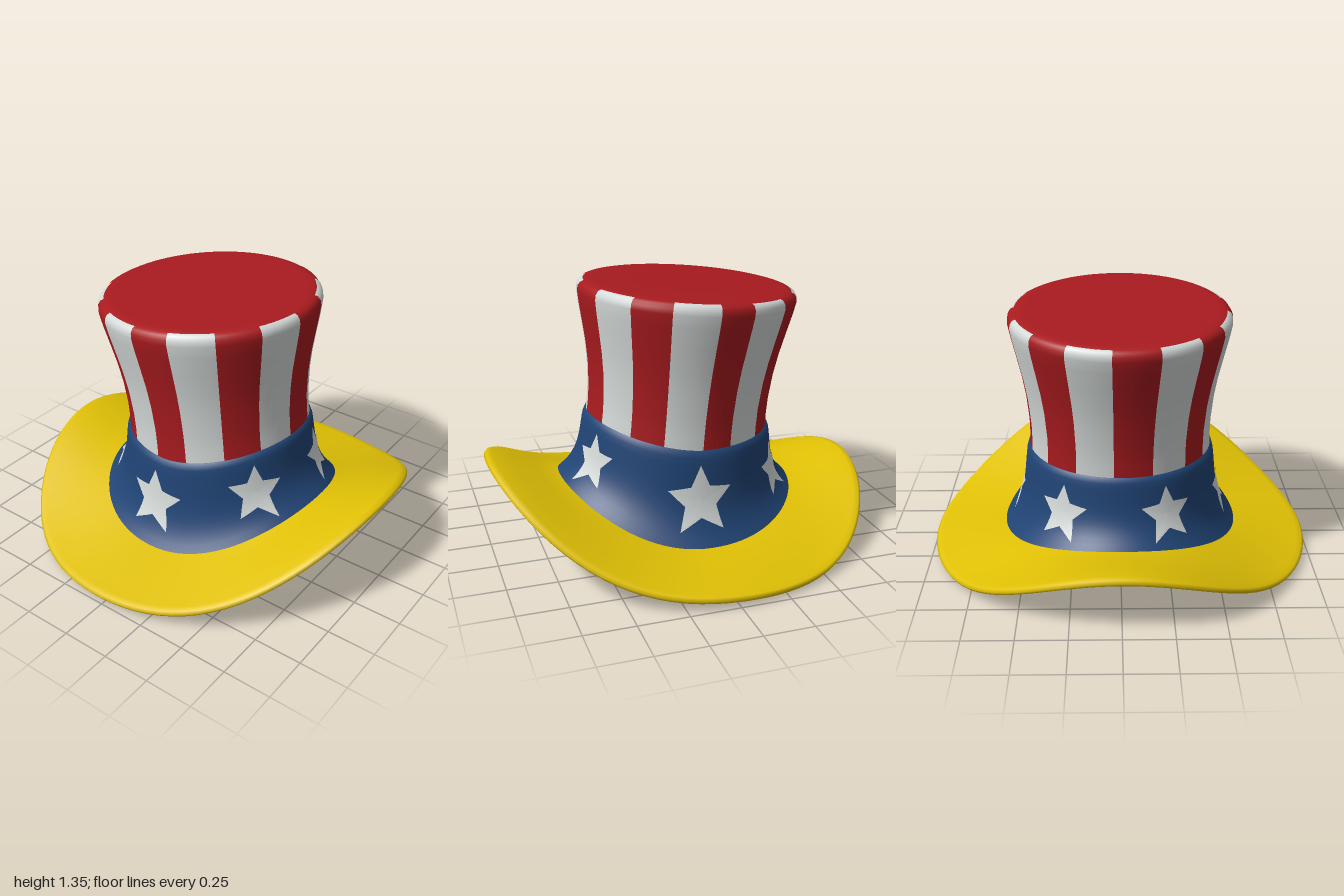
import * as THREE from 'three';

const { sin, cos, PI, abs, pow, max, sqrt } = Math;
const lerp = THREE.MathUtils.lerp;
const rad = THREE.MathUtils.degToRad;

const paint = (name, color) => Object.assign(new THREE.MeshStandardMaterial({ color }), { name });

// Smooth surface closed around its columns; point(row, col) gives [x, y, z],
// slot(row, col) picks the material of each quad.
function surface(rows, cols, point, slot = () => 0, slots = 1) {
  const pos = [];
  for (let i = 0; i < rows; i++) for (let j = 0; j < cols; j++) pos.push(...point(i, j));
  const lists = Array.from({ length: slots }, () => []);
  for (let i = 0; i < rows - 1; i++) {
    for (let j = 0; j < cols; j++) {
      const k = (j + 1) % cols;
      const a = i * cols + j, b = i * cols + k, c = b + cols, d = a + cols;
      lists[slot(i, j)].push(a, b, c, a, c, d);
    }
  }
  const geo = new THREE.BufferGeometry();
  geo.setAttribute('position', new THREE.Float32BufferAttribute(pos, 3));
  geo.setIndex(lists.flat());
  let start = 0;
  if (slots > 1) lists.forEach((l, m) => { geo.addGroup(start, l.length, m); start += l.length; });
  geo.computeVertexNormals();
  return geo;
}

// Heights around the hat, angle 0 = front, 90 degrees = +x
const bandTop = (t) => 0.575 + 0.095 * pow(max(0, cos(t)), 1.5);
const bandBottom = (t) => 0.12 + (cos(t) > 0 ? 0.22 : 0.12) * pow(abs(cos(t)), 2.2);
const rimY = (t) => {
  const c = cos(t);
  return 0.04 + 0.05 * c + (c > 0 ? 0.37 * pow(c, 3) : 0.31 * pow(-c, 4));
};

// Point on the flared band at an angle and height
function onBand(t, y, lift = 0) {
  const k = max(0, (bandTop(t) - y) / (bandTop(t) - bandBottom(t)));
  const r = 0.48 + 0.04 * sqrt(k) + 0.1 * pow(k, 4) + lift;
  return [r * sin(t), y, r * cos(t) - 0.012 * (1 - k)];
}

// Brim: closed skin from the hollow underneath, around the rim, to the band
function brimGeometry() {
  const under = (t) => bandBottom(t) - 0.05 - 0.025 * sin(t) ** 2;
  const hollowEdge = (t) => 0.06 + (cos(t) > 0 ? 0.165 : 0.09) * cos(t) ** 2;
  const rings = [
    [0, () => 0.27],
    [0.1, (t) => lerp(0.27, hollowEdge(t), 0.06)],
    [0.2, (t) => lerp(0.27, hollowEdge(t), 0.3)],
    [0.3, (t) => lerp(0.27, hollowEdge(t), 0.68)],
    [0.38, (t) => lerp(0.27, hollowEdge(t), 0.92)],
    [0.45, hollowEdge],
    [0.54, (t) => lerp(hollowEdge(t), under(t), 0.45)],
    [0.64, under],
    [0.76, (t) => lerp(under(t), rimY(t) - 0.028, 0.32)],
    [0.88, (t) => lerp(under(t), rimY(t) - 0.028, 0.66)],
    [0.96, (t) => rimY(t) - 0.028],
    [0.99, (t) => rimY(t) - 0.016],
    [1, rimY],
    [0.99, (t) => rimY(t) + 0.014],
    [0.96, (t) => rimY(t) + 0.018],
    [0.86, (t) => lerp(rimY(t) + 0.018, bandBottom(t), 0.3)],
    [0.74, (t) => lerp(rimY(t) + 0.018, bandBottom(t), 0.64)],
    [0.62, bandBottom],
    [0.55, (t) => bandBottom(t) + 0.01],
  ];
  const n = 96;
  return surface(rings.length, n, (i, j) => {
    const t = (j / n) * 2 * PI, [r, y] = rings[i];
    return [r * sin(t), y(t), r * cos(t)];
  });
}

// Crown: leaning, flaring tube with a rounded top edge and striped sides
function crownGeometry() {
  const whiteCentres = [-149, -106, -62.5, -16.5, 32, 76.5, 118, 164];
  const half = 11.7, seg = 5;
  const columns = [];
  whiteCentres.forEach((c, i) => {
    const next = i < 7 ? whiteCentres[i + 1] : whiteCentres[0] + 360;
    for (let k = 0; k < seg; k++) columns.push([rad(c - half + (2 * half * k) / seg), 0]);
    for (let k = 0; k < seg; k++) columns.push([rad(lerp(c + half, next - half, k / seg)), 1]);
  });
  // [height fraction, radius]
  const rings = [
    [0, 0.475], [0.1, 0.472], [0.22, 0.473], [0.4, 0.485], [0.55, 0.503], [0.7, 0.527],
    [0.84, 0.55], [0.92, 0.561], [0.955, 0.559], [0.98, 0.547], [0.991, 0.53], [0.998, 0.508],
    [1, 0.48], [1, 0.3], [1, 0],
  ];
  const whiteEnd = 10;
  return surface(rings.length, columns.length, (i, j) => {
    const [s, r] = rings[i], t = columns[j][0];
    const z = r * cos(t) - 0.01 - 0.063 * s;
    return [r * sin(t), lerp(bandTop(t) - 0.02, 1.322 + 0.07 * z, s), z];
  }, (i, j) => (i < whiteEnd ? columns[j][1] : 1), 2);
}

// Band: blue collar that flares into the brim
function bandGeometry() {
  const n = 96, rows = 14;
  return surface(rows + 1, n, (i, j) => {
    const t = (j / n) * 2 * PI;
    if (i === rows) return [0.46 * sin(t), bandTop(t), 0.46 * cos(t) - 0.012];
    return onBand(t, lerp(bandBottom(t) - 0.004, bandTop(t), i / (rows - 1)));
  });
}

// Five-pointed star wrapped onto the band
function starGeometry(angle, y, size) {
  const outline = [];
  const corner = (k) => {
    const a = PI / 2 + (k * PI) / 5, r = k % 2 ? 0.48 * size : size;
    return new THREE.Vector2(r * cos(a), r * sin(a));
  };
  for (let k = 0; k < 10; k++)
    for (let m = 0; m < 3; m++) outline.push(corner(k).lerp(corner(k + 1), m / 3));
  const scales = [1, 0.75, 0.5, 0.25, 0];
  return surface(scales.length, outline.length, (i, j) => {
    const p = outline[j], s = scales[i];
    return onBand(rad(angle) + (p.x * s) / 0.53, y + p.y * s, 0.006);
  });
}

export function createModel() {
  const red = paint('red', 0xa91b1f);
  const white = paint('white', 0xd5dad9);
  const blue = paint('blue', 0x204475);
  const gold = paint('gold', 0xe1c105);

  const hat = new THREE.Group();
  hat.name = 'topHat';
  const add = (name, geo, mat) => {
    const mesh = new THREE.Mesh(geo, mat);
    mesh.name = name;
    hat.add(mesh);
  };

  add('brim', brimGeometry(), gold);
  add('crown', crownGeometry(), [white, red]);
  add('band', bandGeometry(), blue);

  // Stars: angle, height, size
  [[20, 0.47, 0.14], [86, 0.335, 0.175], [146, 0.365, 0.145],
    [206, 0.375, 0.145], [266, 0.335, 0.17], [326, 0.445, 0.15]]
    .forEach(([a, y, s], i) => add(`star${i + 1}`, starGeometry(a, y, s), white));

  return hat;
}
